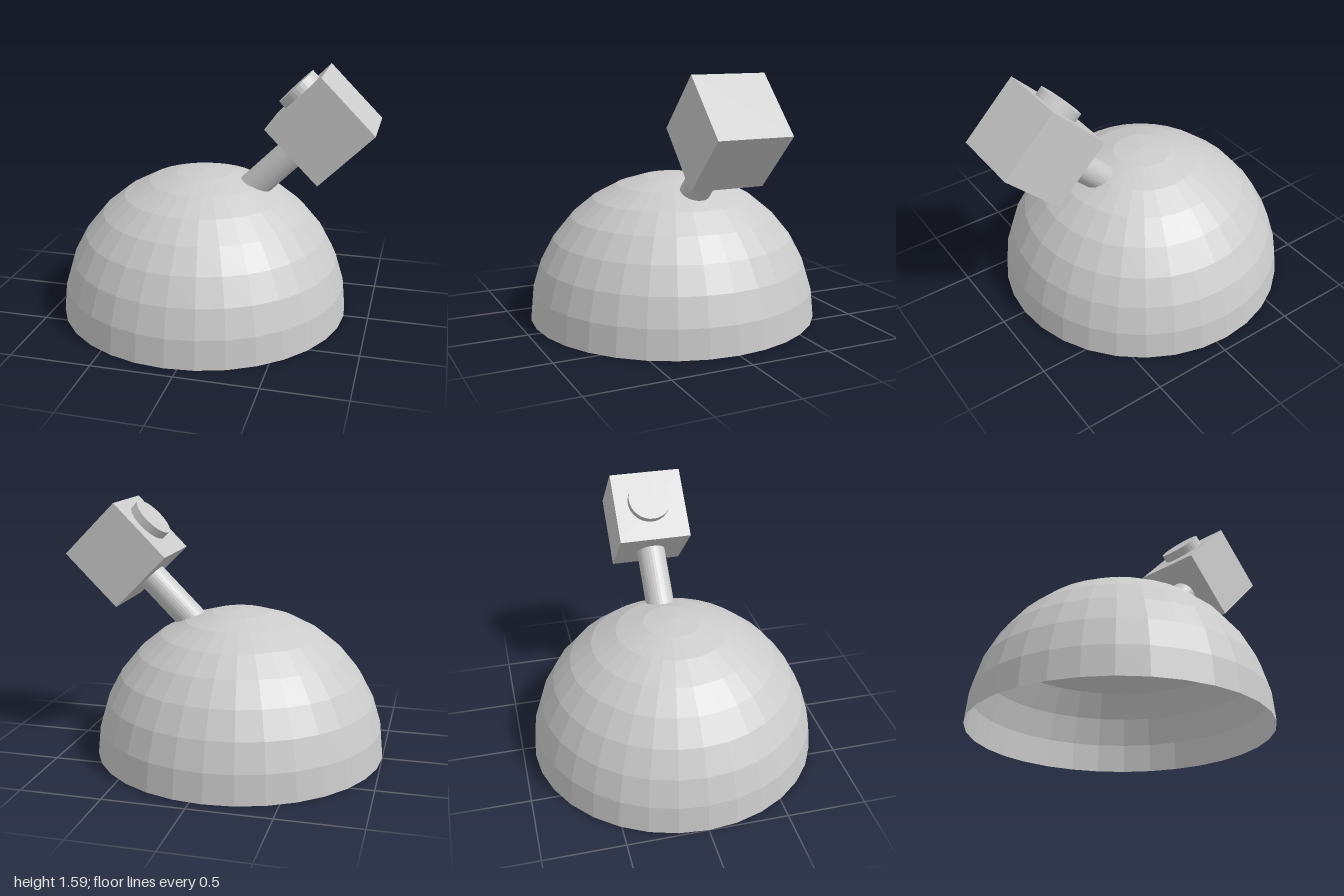
import * as THREE from 'three';

const SIDE = 0.461; // edge of the head cube

export function createModel() {
  const model = new THREE.Group();
  const grey = new THREE.MeshStandardMaterial({ color: 0xcccccc, flatShading: true });
  const shell = new THREE.MeshStandardMaterial({ color: 0xcccccc, flatShading: true, side: THREE.DoubleSide });

  const add = (parent, name, geometry, material, x, y, z = 0) => {
    const mesh = new THREE.Mesh(geometry, material);
    mesh.name = name;
    mesh.position.set(x, y, z);
    parent.add(mesh);
    return mesh;
  };

  // hollow faceted dome, open underneath
  const dome = new THREE.SphereGeometry(0.923, 32, 8, 0, Math.PI * 2, 0, Math.PI / 2);
  add(model, 'dome', dome, shell, -0.077, 0);

  // tilted arm: local y runs along the shaft, away from the dome
  const arm = new THREE.Group();
  arm.name = 'arm';
  arm.position.set(0.674, 1.265, 0);
  arm.rotation.z = -Math.PI / 4;
  model.add(arm);

  add(arm, 'head', new THREE.BoxGeometry(SIDE, SIDE, SIDE), grey, 0, 0);

  // shaft from the middle of the head to just inside the dome
  const length = SIDE * 1.5;
  add(arm, 'shaft', new THREE.CylinderGeometry(0.092, 0.092, length, 32), grey, 0, -length / 2);

  // round button on the upper face of the head
  const button = add(arm, 'button', new THREE.CylinderGeometry(0.138, 0.138, 0.092, 32), grey, -0.239, 0.028, -0.005);
  button.rotation.z = Math.PI / 2;

  return model;
}
